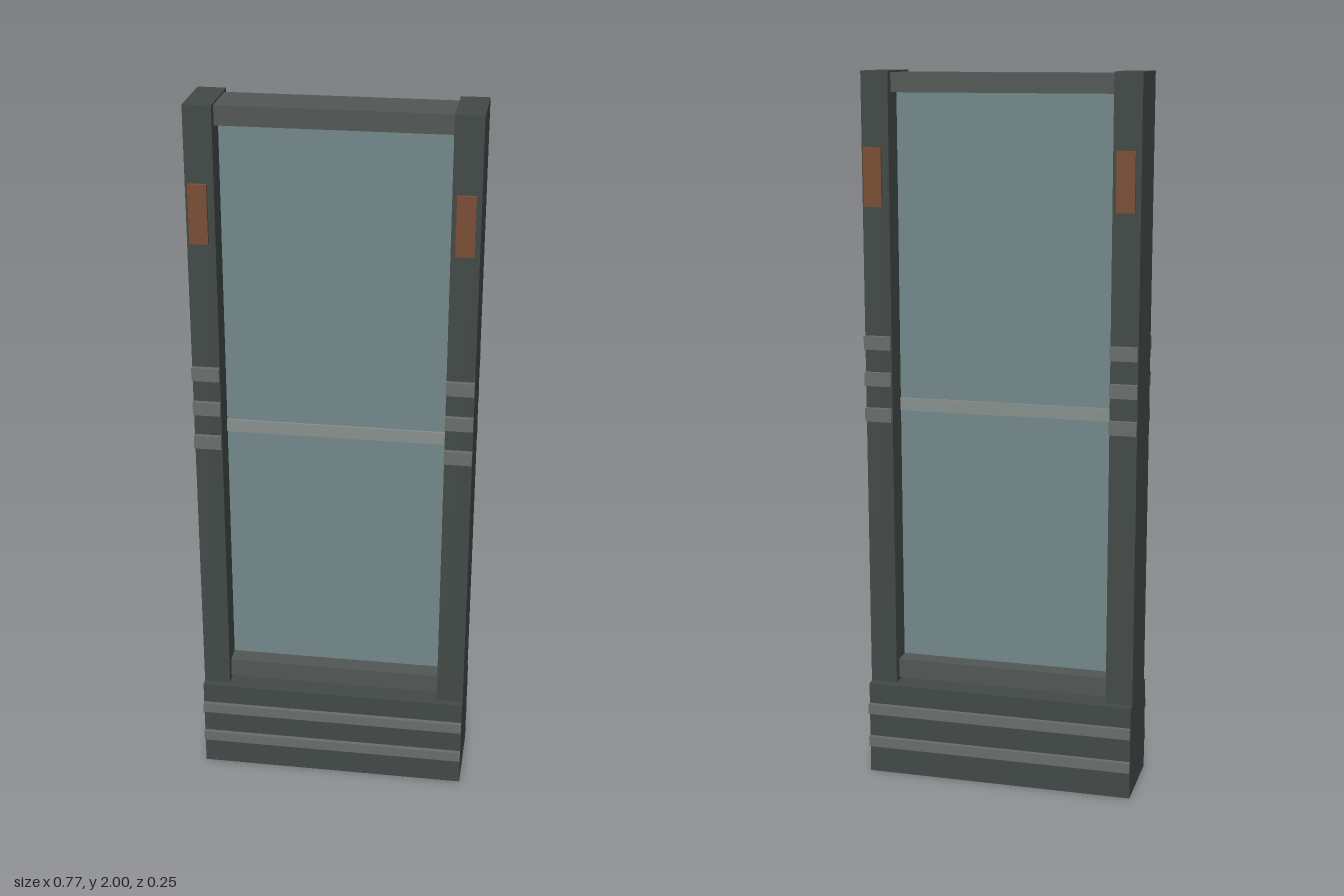
import * as THREE from 'three';

const mat = (color) => new THREE.MeshStandardMaterial({ color });

export function createModel() {
  const group = new THREE.Group();
  const frameMat = mat(0x424a47);
  const railMat = mat(0x525856);
  const ribMat = mat(0x696f6c);
  const barMat = mat(0x88918f);
  const glassMat = mat(0x74898c);
  const plateMat = mat(0x7a4e35);

  // Box given by its size and centre
  const box = (name, material, [w, h, d], [x, y, z]) => {
    const mesh = new THREE.Mesh(new THREE.BoxGeometry(w, h, d), material);
    mesh.name = name;
    mesh.position.set(x, y, z);
    group.add(mesh);
  };

  // Plinth
  box('base', frameMat, [0.766, 0.27, 0.23], [0, 0.135, 0]);

  // Panel between the posts, with its rails
  box('glassPane', glassMat, [0.614, 1.61, 0.036], [0, 1.14, 0]);
  box('topRail', railMat, [0.614, 0.052, 0.138], [0, 1.969, 0]);
  box('bottomRail', railMat, [0.614, 0.055, 0.138], [0, 0.307, 0]);
  box('middleBar', barMat, [0.614, 0.036, 0.048], [0, 1.08, 0]);

  // Side posts
  for (const sx of [-1, 1]) {
    box('post', frameMat, [0.076, 1.73, 0.186], [sx * 0.345, 1.135, 0]);
  }

  // Trim repeated on front and back
  for (const sz of [-1, 1]) {
    for (const y of [0.095, 0.195]) {
      box('baseRib', ribMat, [0.766, 0.03, 0.014], [0, y, sz * 0.12]);
    }
    for (const sx of [-1, 1]) {
      for (const y of [1.062, 1.163, 1.265]) {
        box('postRib', ribMat, [0.076, 0.038, 0.016], [sx * 0.345, y, sz * 0.099]);
      }
      box('markerPlate', plateMat, [0.05, 0.16, 0.011], [sx * 0.346, 1.72, sz * 0.113]);
    }
  }
  return group;
}
